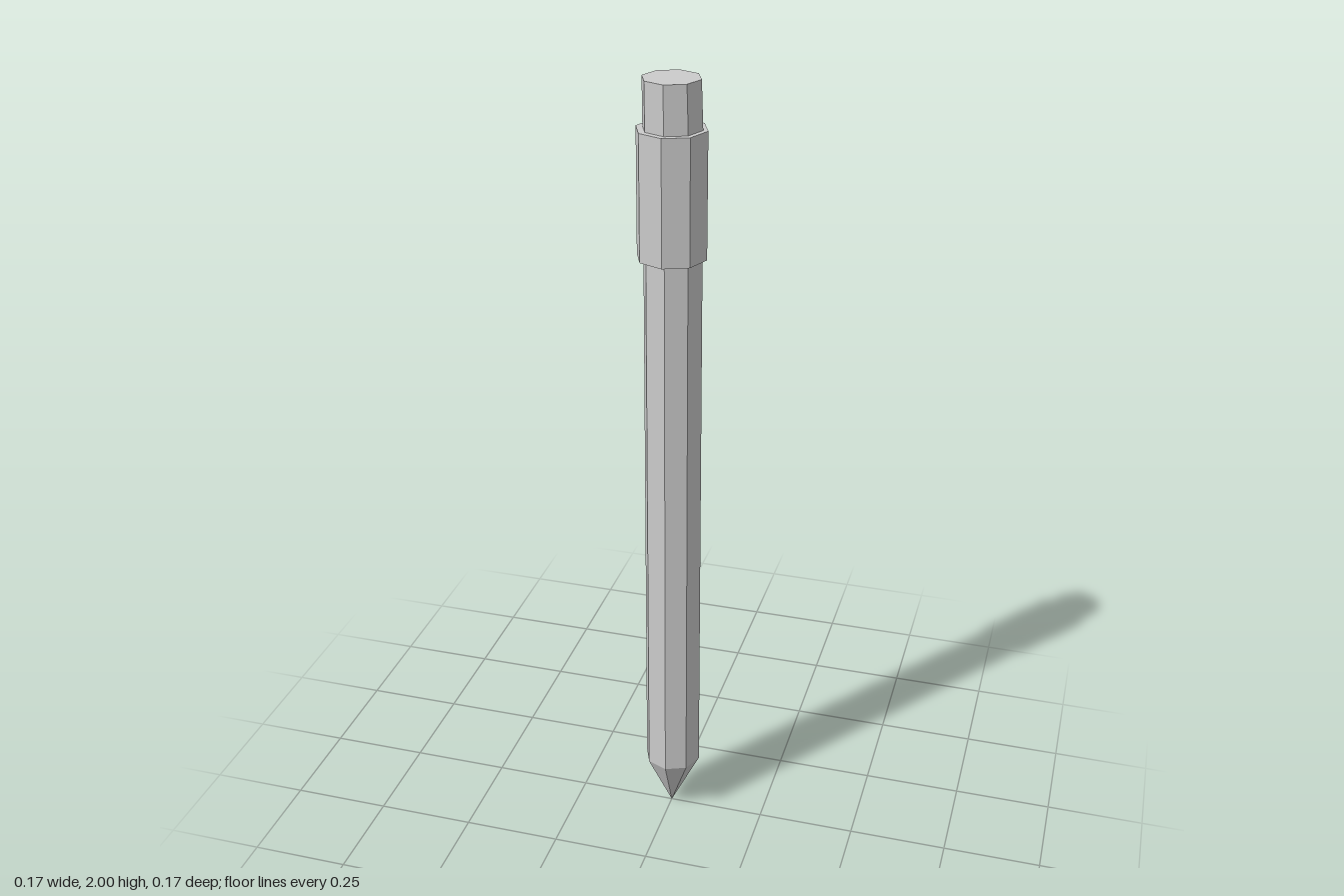
import * as THREE from 'three';

const material = new THREE.MeshStandardMaterial({ color: 0xcccccc, flatShading: true });

// Octagonal section between two rings, each given as [radius, y, centreX, centreZ]
function section(name, bottom, top, open = false) {
  const [rb, yb, xb = 0, zb = 0] = bottom;
  const [rt, yt, xt = 0, zt = 0] = top;
  const geometry = new THREE.CylinderGeometry(rt, rb, yt - yb, 8, 1, open);
  geometry.translate(0, (yt + yb) / 2, 0);
  // Shift each ring to its own centre so the section leans slightly
  const p = geometry.attributes.position;
  for (let i = 0; i < p.count; i++) {
    const t = (p.getY(i) - yb) / (yt - yb);
    p.setX(i, p.getX(i) + xb + (xt - xb) * t);
    p.setZ(i, p.getZ(i) + zb + (zt - zb) * t);
  }
  geometry.computeVertexNormals();
  const mesh = new THREE.Mesh(geometry, material);
  mesh.name = name;
  return mesh;
}

export function createModel() {
  const group = new THREE.Group();
  group.name = 'pencil';

  const shoulder = [0.073, 0.155, 0.003, 0];
  const neck = [0.0715, 1.6, 0.002, -0.002];

  group.add(
    // Sharpened point, open where it meets the shaft
    section('tip', [0, 0], shoulder, true),
    // Long, slightly leaning shaft
    section('shaft', shoulder, neck, true),
    // Wider band near the top
    section('collar', [0.085, 1.58], [0.085, 1.885]),
    // Stub at the end
    section('eraser', [0.0715, 1.86, 0.002, -0.002], [0.0695, 2, -0.0005, 0])
  );
  return group;
}
